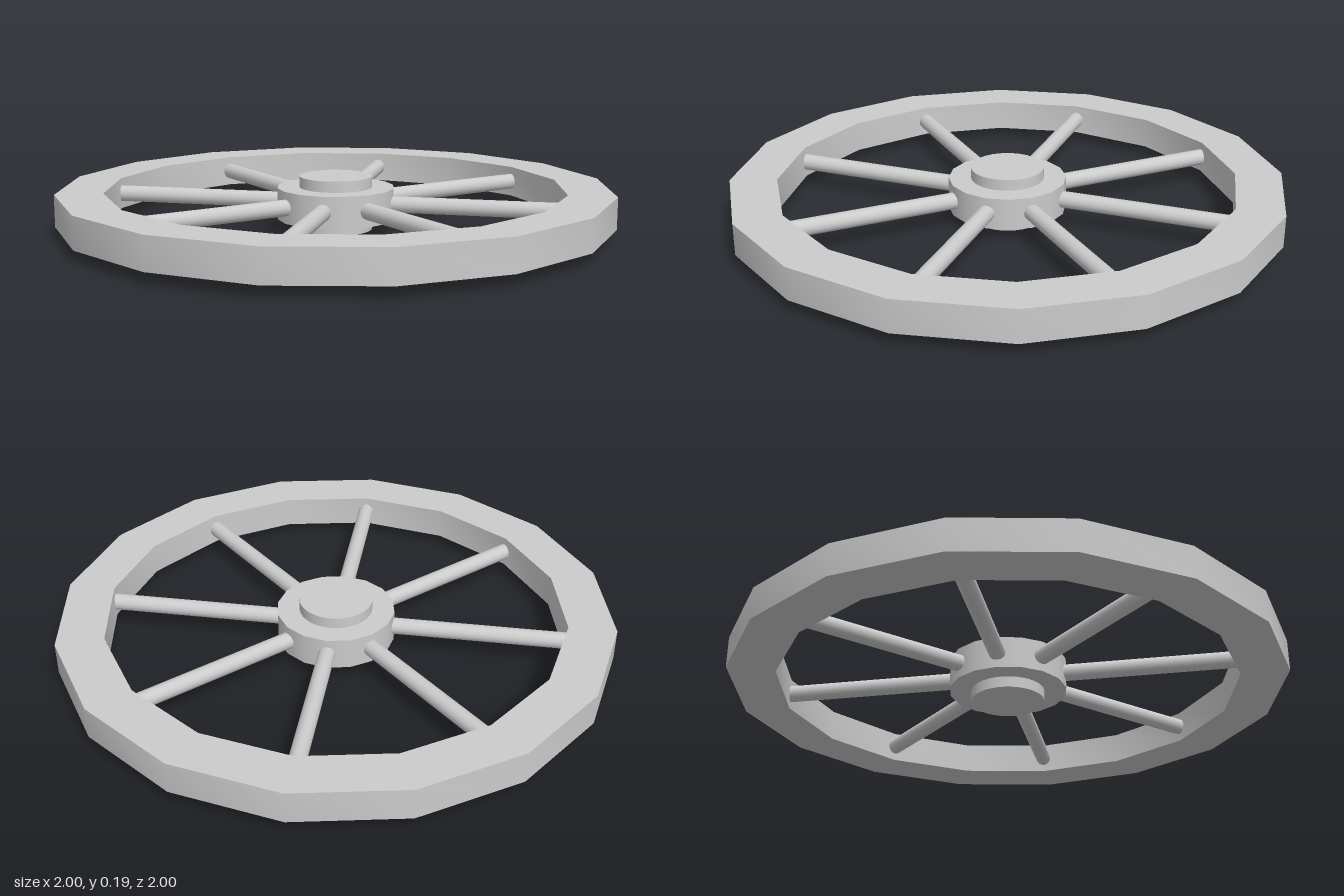
import * as THREE from 'three';
import { toCreasedNormals } from 'three/addons/utils/BufferGeometryUtils.js';

const SEGMENTS = 16;
const SPOKES = 8;
const MID = 0.0975; // height of the wheel's middle plane
const RIM_HEIGHT = 0.115;

export function createModel() {
  const wheel = new THREE.Group();
  wheel.name = 'wheel';
  const material = new THREE.MeshStandardMaterial({ color: 0xcccccc });

  const add = (name, geometry) => {
    const mesh = new THREE.Mesh(geometry, material);
    mesh.name = name;
    mesh.position.y = MID;
    wheel.add(mesh);
    return mesh;
  };

  // Rim: rectangular section swept around the axle
  const h = RIM_HEIGHT / 2;
  const section = [[0.83, -h], [1, -h], [1, h], [0.83, h], [0.83, -h]]
    .map(([r, y]) => new THREE.Vector2(r, y));
  add('rim', toCreasedNormals(new THREE.LatheGeometry(section, SEGMENTS), 0.7));

  // Hub and the narrower axle showing above and below it
  add('hub', new THREE.CylinderGeometry(0.213, 0.213, RIM_HEIGHT, SEGMENTS));
  add('axle', new THREE.CylinderGeometry(0.132, 0.132, 2 * MID, 32));

  // Round spokes from inside the hub to just inside the rim
  const inner = 0.18, outer = 0.84;
  const spokeGeometry = new THREE.CylinderGeometry(0.03, 0.03, outer - inner, 16);
  spokeGeometry.rotateZ(-Math.PI / 2);
  spokeGeometry.translate((inner + outer) / 2, 0, 0);
  for (let i = 0; i < SPOKES; i++) {
    add(`spoke${i + 1}`, spokeGeometry).rotation.y = (i / SPOKES) * Math.PI * 2;
  }

  return wheel;
}
